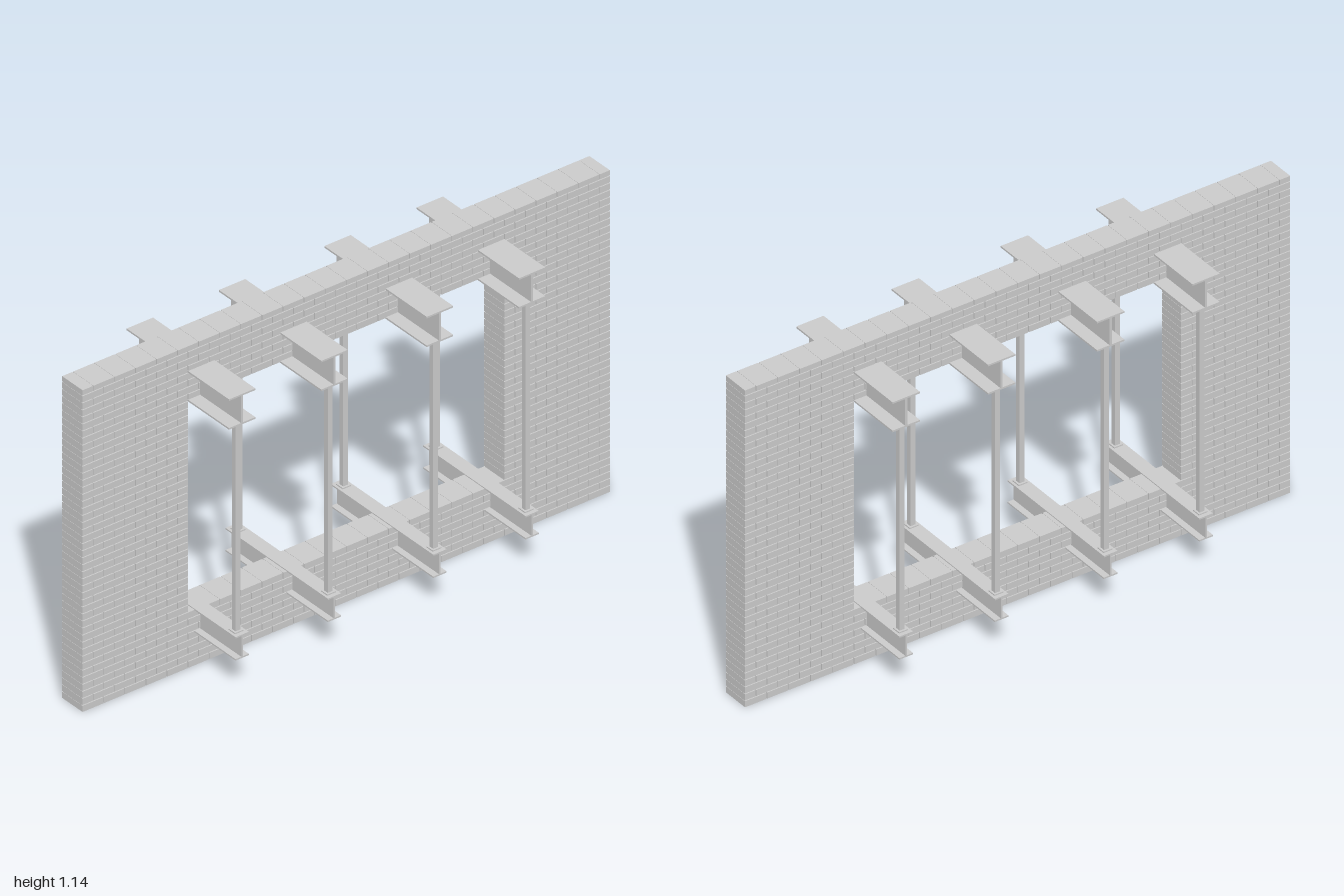
import * as THREE from 'three';
import { mergeGeometries } from 'three/addons/utils/BufferGeometryUtils.js';

const material = new THREE.MeshStandardMaterial({ color: 0xcccccc, flatShading: true });

const WALL_TOP = 1.143, DEPTH = 0.1;
const OPEN_X = 0.6, SILL_COURSE = 8, LINTEL_COURSE = 38;
const COURSE = 0.025, BRICK = 0.08, JOINT = 0.0033, RECESS = 0.004;

// Box spanning two corners
function span(x0, x1, y0, y1, z0, z1) {
  return new THREE.BoxGeometry(x1 - x0, y1 - y0, z1 - z0)
    .translate((x0 + x1) / 2, (y0 + y1) / 2, (z0 + z1) / 2);
}

function addMesh(parent, name, geometry) {
  const mesh = new THREE.Mesh(geometry, material);
  mesh.name = name;
  parent.add(mesh);
  return mesh;
}

// One run of bricks in running bond, cut off at both ends
function brickRun(list, x0, x1, y0, y1, shift) {
  for (let x = x0 - shift; x < x1 - 0.001; x += BRICK) {
    const a = x <= x0 + 0.001 ? x0 : x + JOINT / 2;
    const b = x + BRICK >= x1 - 0.001 ? x1 : x + BRICK - JOINT / 2;
    list.push(span(a, b, y0, y1, -DEPTH / 2, DEPTH / 2));
  }
}

function bricks() {
  const list = [];
  for (let i = 0; i * COURSE < WALL_TOP; i++) {
    const y0 = i * COURSE;
    const y1 = Math.min(y0 + COURSE - JOINT, WALL_TOP);
    const shift = i % 2 ? BRICK / 2 : 0;
    if (i >= SILL_COURSE && i < LINTEL_COURSE) {
      brickRun(list, -1, -OPEN_X, y0, y1, shift);
      brickRun(list, OPEN_X, 1, y0, y1, shift);
    } else {
      brickRun(list, -1, 1, y0, y1, shift);
    }
  }
  return mergeGeometries(list);
}

// Recessed mortar body with the window opening
function mortar() {
  const e = 0.001;
  const rect = (path, x, y0, y1) =>
    path.moveTo(-x, y0).lineTo(x, y0).lineTo(x, y1).lineTo(-x, y1).closePath();
  const shape = new THREE.Shape();
  rect(shape, 1 - e, e, WALL_TOP - e);
  const hole = new THREE.Path();
  rect(hole, OPEN_X + e, SILL_COURSE * COURSE - JOINT - e, LINTEL_COURSE * COURSE + e);
  shape.holes.push(hole);
  const depth = DEPTH - 2 * RECESS;
  return new THREE.ExtrudeGeometry(shape, { depth, bevelEnabled: false }).translate(0, 0, -depth / 2);
}

// I-section beam running through the wall along z
function iBeam(width, y0, y1, flange, web) {
  const w = width / 2, t = web / 2;
  const points = [
    [-w, y0], [w, y0], [w, y0 + flange], [t, y0 + flange], [t, y1 - flange], [w, y1 - flange],
    [w, y1], [-w, y1], [-w, y1 - flange], [-t, y1 - flange], [-t, y0 + flange], [-w, y0 + flange],
  ].map(([x, y]) => new THREE.Vector2(x, y));
  return new THREE.ExtrudeGeometry(new THREE.Shape(points), { depth: 0.5, bevelEnabled: false })
    .translate(0, 0, -0.25);
}

// Square post with thin end plates
function post(y0, y1) {
  const r = 0.009, p = 0.016, t = 0.004;
  return mergeGeometries([
    span(-r, r, y0 + t, y1 - t, -r, r),
    span(-p, p, y0, y0 + t, -p, p),
    span(-p, p, y1 - t, y1, -p, p),
  ]);
}

export function createModel() {
  const model = new THREE.Group();
  model.name = 'proppedBrickWall';

  const wall = new THREE.Group();
  wall.name = 'wall';
  model.add(wall);
  addMesh(wall, 'bricks', bricks());
  addMesh(wall, 'mortar', mortar());

  // Four frames: needle beam above, sill beam below, a post on each side
  const upper = iBeam(0.1, 0.947, 1.055, 0.006, 0.008);
  const lower = iBeam(0.05, 0.117, 0.2, 0.005, 0.006);
  const prop = post(0.2, 0.947);
  [-0.55, -0.2, 0.2, 0.55].forEach((x, i) => {
    const frame = new THREE.Group();
    frame.name = `supportFrame${i + 1}`;
    frame.position.x = x;
    model.add(frame);
    addMesh(frame, 'upperBeam', upper);
    addMesh(frame, 'lowerBeam', lower);
    addMesh(frame, 'frontPost', prop).position.z = 0.22;
    addMesh(frame, 'backPost', prop).position.z = -0.22;
  });

  return model;
}
